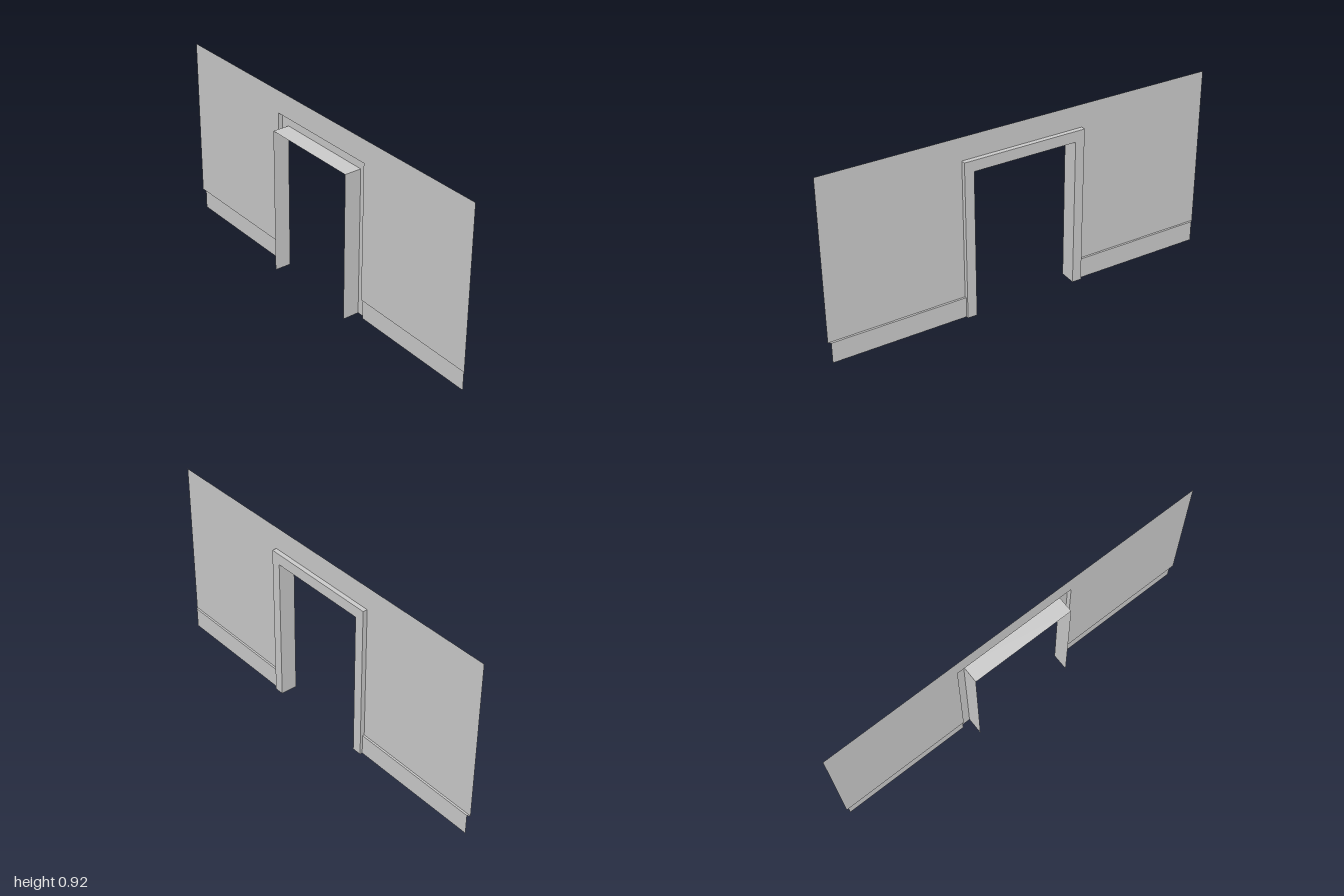
import * as THREE from 'three';

const WALL_Z = -0.02, BASE_Z = -0.03, TRIM_Z = -0.043, FRONT_Z = 0.043;
const BASE_H = 0.105, OUT_X = 0.313, OUT_Y = 0.805, IN_X = 0.265, IN_Y = 0.75;

// Flat-faced sheet spanning successive rows of points
function loft(rows) {
  const pos = [];
  const tri = (a, b, c) => {
    const t = new THREE.Triangle(...[a, b, c].map((p) => new THREE.Vector3(...p)));
    if (t.getArea() > 1e-8) pos.push(...a, ...b, ...c);
  };
  for (let i = 0; i + 1 < rows.length; i++) {
    const r = rows[i], s = rows[i + 1];
    for (let j = 0; j + 1 < r.length; j++) {
      tri(r[j], s[j], r[j + 1]);
      tri(s[j], s[j + 1], r[j + 1]);
    }
  }
  const g = new THREE.BufferGeometry();
  g.setAttribute('position', new THREE.Float32BufferAttribute(pos, 3));
  g.computeVertexNormals();
  return g;
}

// Upside-down U from right foot to left foot; the outline steps from footZ to z at baseboard height
function arch(x, top, z, footZ = z) {
  const side = [[0, footZ], [BASE_H, footZ], [BASE_H, z], [top, z]];
  return [
    ...side.map(([y, d]) => [x, y, d]),
    ...side.reverse().map(([y, d]) => [-x, y, d]),
  ];
}

export function createModel() {
  const model = new THREE.Group();
  model.name = 'doorwayWall';
  const plaster = new THREE.MeshStandardMaterial({ color: 0xcccccc, side: THREE.DoubleSide });
  plaster.name = 'plaster grey';

  const add = (name, rows) => {
    const mesh = new THREE.Mesh(loft(rows), plaster);
    mesh.name = name;
    model.add(mesh);
  };

  // Wall sheet above the baseboard, open around the door trim
  add('wall', [
    arch(1, 0.92, WALL_Z).slice(2, 6),
    arch(OUT_X, OUT_Y, WALL_Z).slice(2, 6),
  ]);

  // Door trim: outer return, face, then the deep lining of the opening
  add('doorFrame', [
    arch(OUT_X, OUT_Y, WALL_Z, BASE_Z),
    arch(OUT_X, OUT_Y, TRIM_Z),
    arch(IN_X, IN_Y, TRIM_Z),
    arch(IN_X, IN_Y, FRONT_Z),
  ]);

  // Baseboards: mitred ledge and face on each side
  for (const [name, s] of [['leftBaseboard', 1], ['rightBaseboard', -1]]) {
    const row = (end, y, z) => {
      const pts = [[s * end, y, z], [s * OUT_X, y, z]];
      return s > 0 ? pts : pts.reverse();
    };
    add(name, [row(1, BASE_H, WALL_Z), row(0.988, BASE_H, BASE_Z), row(0.988, 0, BASE_Z)]);
  }
  return model;
}
